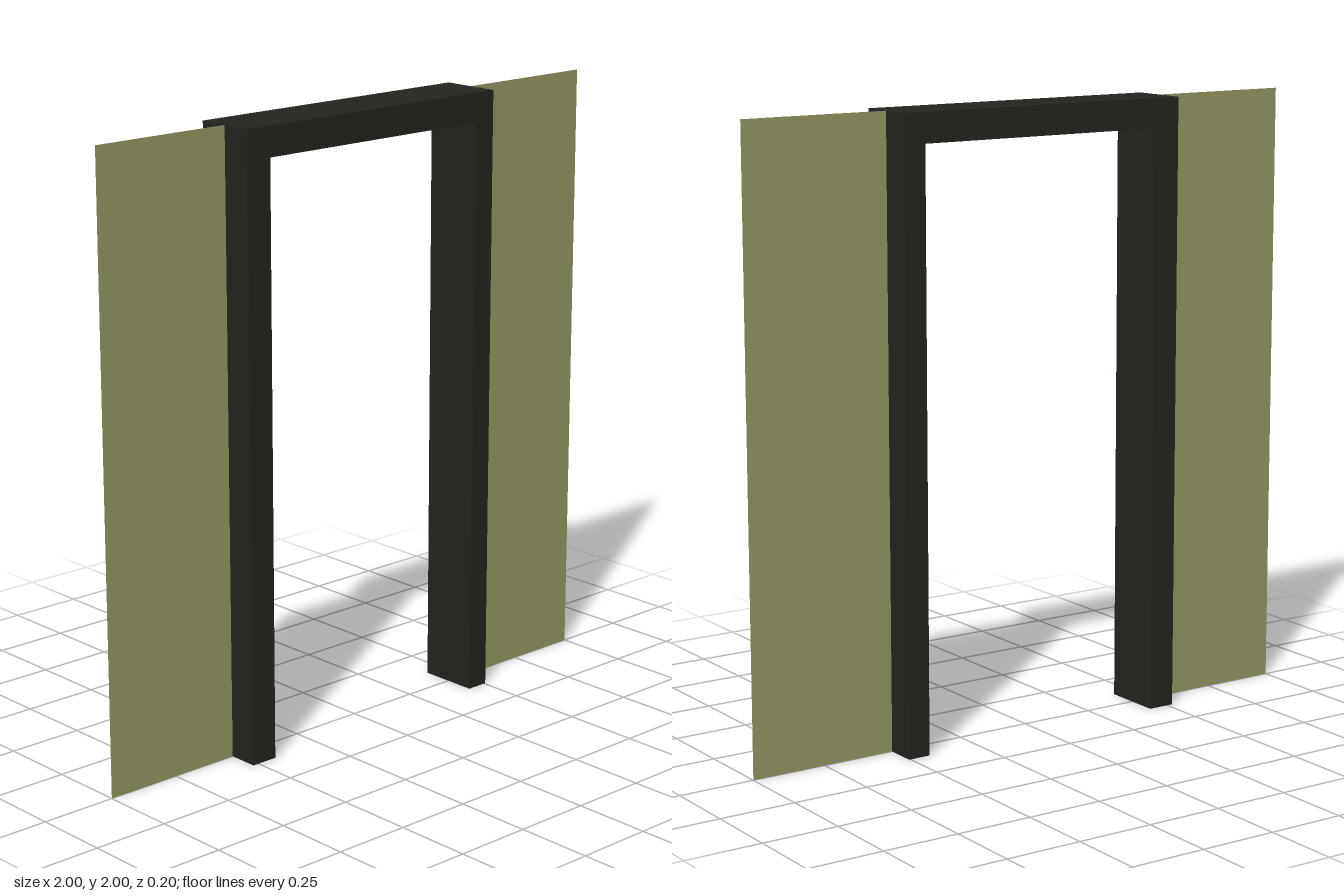
import * as THREE from 'three';

const HEIGHT = 2, DEPTH = 0.2;
const OUTER_RIGHT = -0.52, OUTER_LEFT = 0.505; // outer edges of the frame
const INNER = 0.43, LINTEL_BOTTOM = 1.905;     // doorway opening

export function createModel() {
  const model = new THREE.Group();
  model.name = 'doorway';

  const frameMaterial = new THREE.MeshStandardMaterial({ color: 0x24231e, flatShading: true });
  const panelMaterial = new THREE.MeshStandardMaterial({ color: 0x959661, side: THREE.DoubleSide });

  // Door frame: one U-shaped outline, two posts joined by a lintel
  const outline = new THREE.Shape([
    [OUTER_RIGHT, 0], [-INNER, 0], [-INNER, LINTEL_BOTTOM], [INNER, LINTEL_BOTTOM],
    [INNER, 0], [OUTER_LEFT, 0], [OUTER_LEFT, HEIGHT], [OUTER_RIGHT, HEIGHT],
  ].map(([x, y]) => new THREE.Vector2(x, y)));
  const frameGeometry = new THREE.ExtrudeGeometry(outline, { depth: DEPTH, bevelEnabled: false });
  frameGeometry.translate(0, 0, -DEPTH / 2);
  const frame = new THREE.Mesh(frameGeometry, frameMaterial);
  frame.name = 'doorFrame';
  model.add(frame);

  // Paper-thin wall panels on either side, in the middle of the frame's depth
  const addPanel = (name, x0, x1) => {
    const panel = new THREE.Mesh(new THREE.PlaneGeometry(x1 - x0, HEIGHT), panelMaterial);
    panel.position.set((x0 + x1) / 2, HEIGHT / 2, 0);
    panel.name = name;
    model.add(panel);
  };
  addPanel('rightWallPanel', -1, OUTER_RIGHT);
  addPanel('leftWallPanel', OUTER_LEFT, 1);

  return model;
}
